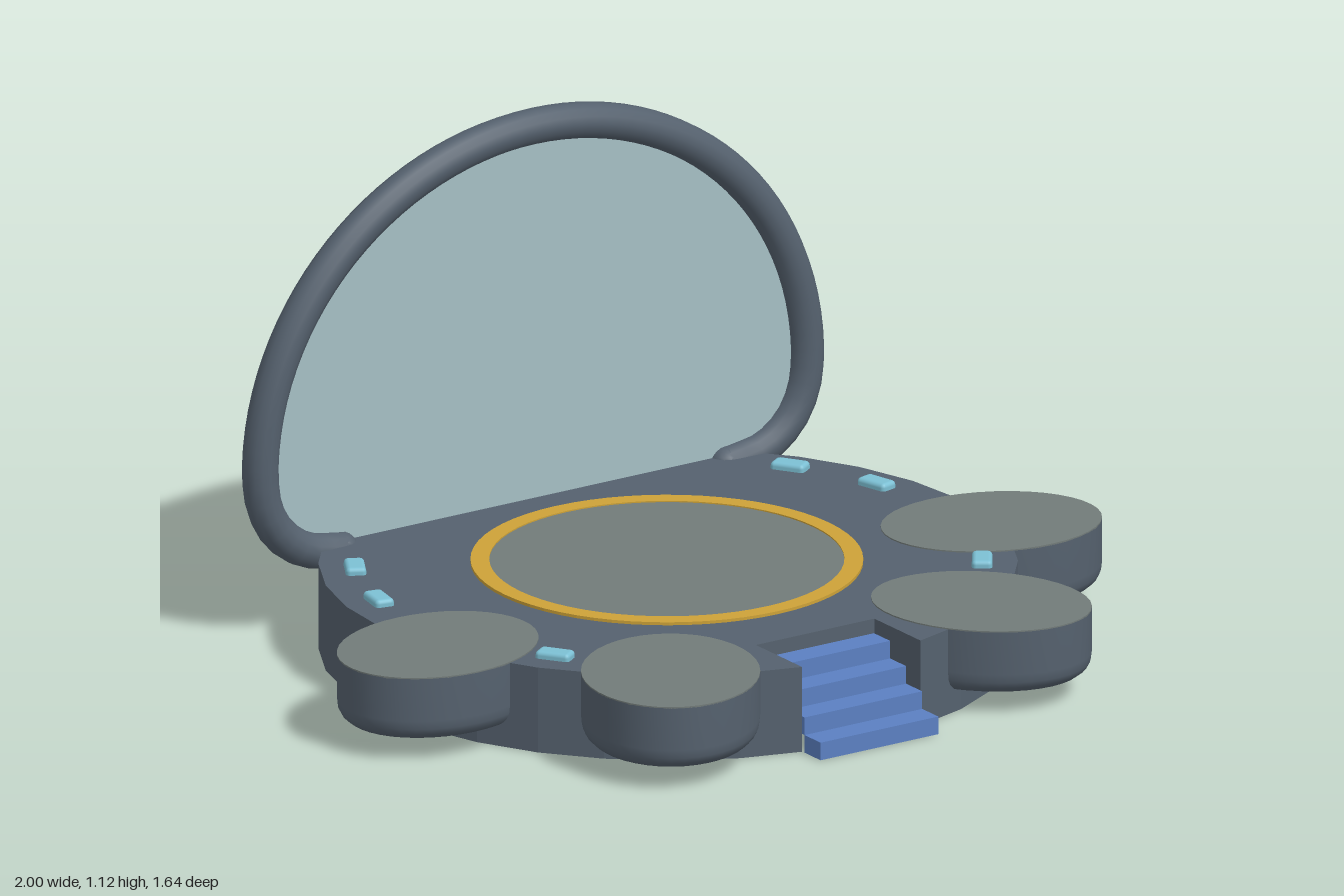
import * as THREE from 'three';
import { RoundedBoxGeometry } from 'three/addons/geometries/RoundedBoxGeometry.js';

const material = (name, color, side = THREE.FrontSide) => {
  const m = new THREE.MeshStandardMaterial({ color, side });
  m.name = name;
  return m;
};

export function createModel() {
  const slate = material('slate', 0x55616e);
  const stone = material('stone grey', 0x727b79);
  const gold = material('gold', 0xcda238);
  const blue = material('step blue', 0x5b80c2);
  const cyan = material('lamp cyan', 0x7cc0d4);
  const glass = material('pale glass', 0xa5bfc4, THREE.DoubleSide);

  const model = new THREE.Group();
  const add = (name, geometry, mat, x = 0, y = 0, z = 0, parent = model) => {
    const mesh = new THREE.Mesh(geometry, mat);
    mesh.name = name;
    mesh.position.set(x, y, z);
    parent.add(mesh);
    return mesh;
  };

  const H = 0.2, R = 0.78, CZ = -0.04;
  const stairHalf = 0.16, stairBack = 0.54;

  // Round faceted platform with a notch for the stairs
  const outline = [];
  for (let i = 2; i <= 30; i++) {
    const a = (i / 32) * Math.PI * 2;
    outline.push(new THREE.Vector2(R * Math.sin(a), -(CZ + R * Math.cos(a))));
  }
  outline.push(
    new THREE.Vector2(-stairHalf, -0.722), new THREE.Vector2(-stairHalf, -stairBack),
    new THREE.Vector2(stairHalf, -stairBack), new THREE.Vector2(stairHalf, -0.722),
  );
  const platform = new THREE.ExtrudeGeometry(new THREE.Shape(outline), { depth: H, bevelEnabled: false });
  add('platform', platform.rotateX(-Math.PI / 2), slate);

  // Floating steps
  const stepH = 0.0415, stepD = 0.0635;
  for (let i = 0; i < 4; i++) {
    add('step', new THREE.BoxGeometry(stairHalf * 2 - 0.002, stepH, stepD), blue,
      0, stepH * (i + 0.5), 0.794 - stepD * (i + 0.5));
  }

  // Central floor disc and its gold ring
  add('centreDisc', new THREE.CylinderGeometry(0.4, 0.4, 0.004, 48), stone, 0, H + 0.002, -0.045);
  const ringShape = new THREE.Shape().absarc(0, 0, 0.438, 0, Math.PI * 2);
  ringShape.holes.push(new THREE.Path().absarc(0, 0, 0.396, 0, Math.PI * 2, true));
  const ring = new THREE.ExtrudeGeometry(ringShape, { depth: 0.007, bevelEnabled: false, curveSegments: 32 });
  add('goldRing', ring.rotateX(-Math.PI / 2), gold, 0, H, -0.045);

  // Oval side pads with rounded undersides
  const padProfile = [[0, 0.05], [0.82, 0.05], [0.9, 0.054], [0.96, 0.066], [0.99, 0.08], [1, 0.1], [1, H]]
    .map(([x, y]) => new THREE.Vector2(x, y));
  const padBody = new THREE.LatheGeometry(padProfile, 40);
  const padTop = new THREE.CylinderGeometry(1, 1, 0.004, 40);
  for (const side of [1, -1]) {
    for (const [x, z] of [[0.748, 0.143], [0.42, 0.583]]) {
      const pad = new THREE.Group();
      pad.name = 'pad';
      pad.position.set(side * x, 0, z);
      pad.rotation.y = -Math.atan2(z - CZ, side * x);
      pad.scale.set(0.253, 1, 0.2);
      add('padBody', padBody, slate, 0, 0, 0, pad);
      add('padTop', padTop, stone, 0, H + 0.001, 0, pad);
      model.add(pad);
    }
  }

  // Small lamps around the deck, in degrees from +x towards +z
  const lamp = new RoundedBoxGeometry(0.046, 0.034, 0.082, 2, 0.01);
  for (const degrees of [-32.7, -14, 34.7, 145.5, 191.6, 210.1]) {
    const a = THREE.MathUtils.degToRad(degrees);
    const mesh = add('lamp', lamp, cyan, 0.7 * Math.cos(a), H, CZ + 0.7 * Math.sin(a));
    mesh.rotation.y = -a;
  }

  // Rear arch: half ellipse whose feet curl into the platform
  const foot = [[0.52, 0.18], [0.62, 0.2], [0.69, 0.253], [0.726, 0.32]];
  const path = foot.map(([x, y]) => new THREE.Vector3(x, y, 0));
  for (let i = 0; i <= 20; i++) {
    const a = (i / 20) * Math.PI;
    path.push(new THREE.Vector3(0.737 * Math.cos(a), 0.4 + 0.677 * Math.sin(a), 0));
  }
  for (const [x, y] of [...foot].reverse()) path.push(new THREE.Vector3(-x, y, 0));
  const curve = new THREE.CatmullRomCurve3(path);
  const archZ = -0.573;
  add('archFrame', new THREE.TubeGeometry(curve, 72, 0.041, 14), slate, 0, 0, archZ);
  for (const side of [1, -1]) {
    add('archEnd', new THREE.SphereGeometry(0.041, 14, 10), slate, side * 0.52, 0.18, archZ);
  }

  // Glass panel filling the arch
  const panel = new THREE.Shape(curve.getPoints(72).map((p) => new THREE.Vector2(p.x, p.y)));
  add('glassPanel', new THREE.ShapeGeometry(panel), glass, 0, 0, archZ);

  return model;
}
